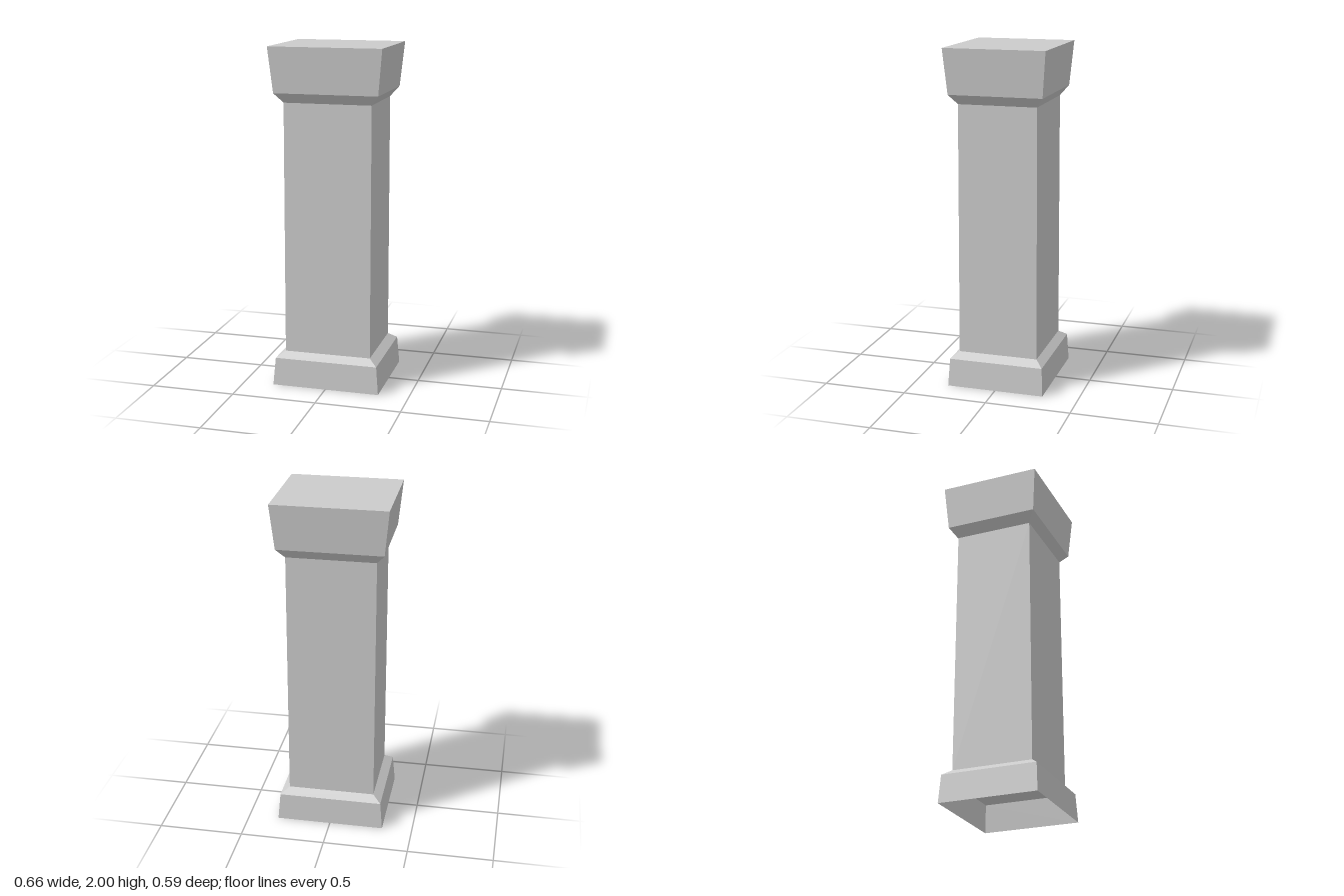
import * as THREE from 'three';

// Cross-sections as [height, half width, half depth]
const SECTIONS = {
  baseBottom: [0, 0.32, 0.29],
  baseTop: [0.165, 0.306, 0.281],
  shaftBottom: [0.2, 0.257, 0.237],
  shaftTop: [1.68, 0.257, 0.231],
  capBottom: [1.737, 0.304, 0.275],
  capTop: [2, 0.33, 0.297],
};

const corners = ([y, w, d]) => [[-w, y, d], [w, y, d], [w, y, -d], [-w, y, -d]];

// Four-sided open shell through the given sections, with an optional flat lid
function shell(name, sections, material, lid = false) {
  const points = [];
  const quad = (a, b, c, d) => points.push(...a, ...b, ...c, ...a, ...c, ...d);
  const rings = sections.map(corners);
  for (let i = 0; i < rings.length - 1; i++) {
    for (let k = 0; k < 4; k++) {
      const n = (k + 1) % 4;
      quad(rings[i][k], rings[i][n], rings[i + 1][n], rings[i + 1][k]);
    }
  }
  if (lid) quad(...rings[rings.length - 1]);
  const geometry = new THREE.BufferGeometry();
  geometry.setAttribute('position', new THREE.Float32BufferAttribute(points, 3));
  geometry.computeVertexNormals();
  const mesh = new THREE.Mesh(geometry, material);
  mesh.name = name;
  return mesh;
}

export function createModel() {
  const stone = new THREE.MeshStandardMaterial({ color: 0xcccccc, side: THREE.DoubleSide });
  stone.name = 'grey stone';

  const S = SECTIONS;
  const pillar = new THREE.Group();
  pillar.name = 'pillar';
  pillar.add(
    // Hollow base, open underneath, with a bevelled upper edge
    shell('base', [S.baseBottom, S.baseTop, S.shaftBottom], stone),
    shell('shaft', [S.shaftBottom, S.shaftTop], stone),
    // Flared cap with a bevelled underside and flat top
    shell('cap', [S.shaftTop, S.capBottom, S.capTop], stone, true),
  );
  return pillar;
}
